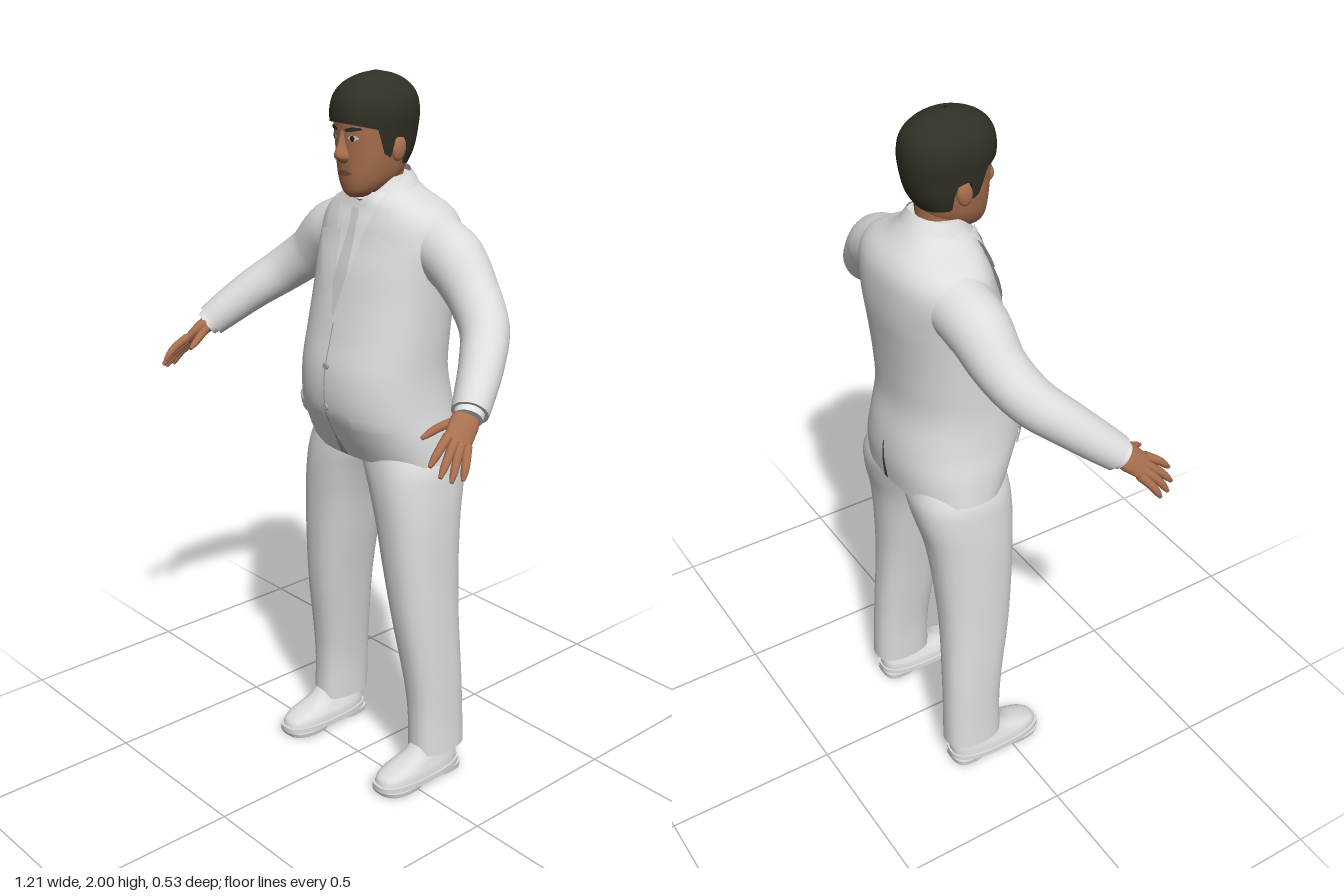
import * as THREE from 'three';

const mat = (name, color, side = THREE.FrontSide) => {
  const m = new THREE.MeshStandardMaterial({ color, side });
  m.name = name;
  return m;
};

// Grid surface from a rule f(u, v, row) -> [x, y, z]; closed wraps around u
function sheet(f, nu, nv, closed = true) {
  const pos = [], idx = [], w = closed ? nu : nu + 1;
  for (let j = 0; j <= nv; j++)
    for (let i = 0; i < w; i++) pos.push(...f(i / nu, j / nv, j));
  for (let j = 0; j < nv; j++)
    for (let i = 0; i < nu; i++) {
      const a = j * w + i, b = j * w + ((i + 1) % w), c = a + w, d = b + w;
      idx.push(a, c, b, b, c, d);
    }
  const g = new THREE.BufferGeometry();
  g.setAttribute('position', new THREE.Float32BufferAttribute(pos, 3));
  g.setIndex(idx);
  g.computeVertexNormals();
  return g;
}

// Smooth interpolation in rows [y, x0, x1, zBack, zFront]
function at(rows, y) {
  const last = rows.length - 1;
  y = THREE.MathUtils.clamp(y, rows[0][0], rows[last][0]);
  let i = 0;
  while (i < last - 1 && y > rows[i + 1][0]) i++;
  const slope = (k, c) => {
    const p = rows[Math.max(k - 1, 0)], q = rows[Math.min(k + 1, last)];
    return (q[c] - p[c]) / (q[0] - p[0]);
  };
  const A = rows[i], B = rows[i + 1], h = B[0] - A[0], t = (y - A[0]) / h, t2 = t * t, t3 = t2 * t;
  return A.map((a, c) => c === 0 ? y :
    (2 * t3 - 3 * t2 + 1) * a + (t3 - 2 * t2 + t) * h * slope(i, c) +
    (3 * t2 - 2 * t3) * B[c] + (t3 - t2) * h * slope(i + 1, c));
}

const pw = (v, n) => Math.sign(v) * Math.pow(Math.abs(v), 2 / n);
function ringPoint([y, x0, x1, z0, z1], u, n, k = 1) {
  const a = u * Math.PI * 2;
  return [(x0 + x1) / 2 + k * (x1 - x0) / 2 * pw(Math.cos(a), n), y,
    (z0 + z1) / 2 + k * (z1 - z0) / 2 * pw(Math.sin(a), n)];
}

// Upright body with capped ends
function loft(rows, n = 2.3, nu = 40, nv = 40) {
  const y0 = rows[0][0], y1 = rows[rows.length - 1][0];
  return sheet((u, v, j) => {
    const t = THREE.MathUtils.clamp(j - 2, 0, nv) / nv;
    return ringPoint(at(rows, y0 + (y1 - y0) * t), u, n, j === 0 || j === nv + 4 ? 0 : 1);
  }, nu, nv + 4);
}

// Capped limb along a path; radii are [across, along ref] pairs
function limb(points, radii, ref, nu = 24, nv = 24) {
  const curve = new THREE.CatmullRomCurve3(points.map(p => new THREE.Vector3(...p)));
  const R = new THREE.Vector3(...ref);
  return sheet((u, v, j) => {
    const t = THREE.MathUtils.clamp(j - 2, 0, nv) / nv, k = j === 0 || j === nv + 4 ? 0 : 1;
    const s = t * (radii.length - 1), i = Math.min(Math.floor(s), radii.length - 2);
    const r = [0, 1].map(c => THREE.MathUtils.lerp(radii[i][c], radii[i + 1][c], s - i) * k);
    const T = curve.getTangent(t), B = R.clone().addScaledVector(T, -R.dot(T)).normalize();
    const N = new THREE.Vector3().crossVectors(T, B), a = u * Math.PI * 2;
    return curve.getPoint(t).addScaledVector(N, r[0] * Math.cos(a))
      .addScaledVector(B, r[1] * Math.sin(a)).toArray();
  }, nu, nv + 4);
}

// Thin plate laid on a body: edges are [y, xLow, xHigh]
function plate(body, edges, off, n = 2.3, back = false) {
  const rows = edges.map(e => [...e]), y0 = rows[0][0], y1 = rows[rows.length - 1][0];
  return sheet((u, v) => {
    const y = y0 + (y1 - y0) * v;
    let i = 0;
    while (i < rows.length - 2 && y > rows[i + 1][0]) i++;
    const t = (y - rows[i][0]) / (rows[i + 1][0] - rows[i][0]);
    const lo = THREE.MathUtils.lerp(rows[i][1], rows[i + 1][1], t);
    const hi = THREE.MathUtils.lerp(rows[i][2], rows[i + 1][2], t);
    const x = back ? lo + (hi - lo) * u : hi + (lo - hi) * u, [, , x1, zb, zf] = at(body, y);
    const d = Math.pow(Math.max(0, 1 - Math.pow(Math.abs(x / x1), n)), 1 / n);
    return [x, y, (zb + zf) / 2 + (back ? -1 : 1) * ((zf - zb) / 2 * d + off)];
  }, 8, 28, false);
}

function mirrored(geo) {
  const g = geo.clone().applyMatrix4(new THREE.Matrix4().makeScale(-1, 1, 1)), ix = g.index.array;
  for (let i = 0; i < ix.length; i += 3) [ix[i], ix[i + 1]] = [ix[i + 1], ix[i]];
  return g;
}

const sym = rows => rows.map(([y, x, zb, zf]) => [y, -x, x, zb, zf]);
const TORSO = sym([[.975, .235, -.255, .045], [1.05, .225, -.262, .085], [1.12, .212, -.257, .115],
  [1.22, .203, -.24, .118], [1.32, .203, -.243, .095], [1.42, .205, -.253, .07], [1.5, .21, -.262, .05],
  [1.57, .217, -.262, .025], [1.62, .207, -.255, .01], [1.655, .175, -.236, -.003],
  [1.685, .115, -.205, -.01], [1.71, .085, -.182, -.02], [1.735, .07, -.16, -.03]]);
const HEAD = sym([[1.685, .022, -.06, .026], [1.695, .04, -.08, .036], [1.715, .056, -.1, .043],
  [1.74, .069, -.13, .047], [1.78, .079, -.15, .05], [1.82, .085, -.165, .052],
  [1.86, .088, -.17, .055], [1.9, .088, -.165, .055], [1.95, .07, -.14, .03], [1.98, .03, -.1, -.01]]);
const HAIR = sym([[1.75, .075, -.135, .03], [1.8, .089, -.165, .05], [1.86, .096, -.18, .064],
  [1.9, .099, -.183, .068], [1.94, .09, -.175, .06], [1.97, .069, -.15, .035],
  [1.99, .04, -.11, -.01], [2, .004, -.065, -.055]]);
// Hairline height against facing direction (-1 back, 1 front)
const HAIRLINE = [[-1, 1.762], [-.35, 1.768], [-.2, 1.835], [.08, 1.845], [.16, 1.79], [.34, 1.8], [.5, 1.865], [1, 1.88]];

export function createModel() {
  const root = new THREE.Group();
  root.name = 'manInSuit';
  const suit = mat('suit', 0xdcdcdc, THREE.DoubleSide), shirt = mat('shirt', 0xe4e4e4, THREE.DoubleSide);
  const tie = mat('tie', 0xcfcfcf), seam = mat('seam', 0xa8a8a8), vent = mat('ventShadow', 0x4c4c4c);
  const skin = mat('skin', 0xa9704f), lip = mat('lips', 0x85503c), hair = mat('hair', 0x303025, THREE.DoubleSide);
  const white = mat('eyeWhite', 0xcfc8be), dark = mat('iris', 0x2a1d16);
  const add = (name, geo, m) => {
    const mesh = new THREE.Mesh(geo, m);
    mesh.name = name;
    root.add(mesh);
  };
  const pair = (name, geo, m) => { add(name + 'Left', geo, m); add(name + 'Right', mirrored(geo), m); };

  // Jacket body and its front details
  add('jacket', loft(TORSO, 2.3, 64, 70), suit);
  add('shirtFront', plate(TORSO, [[1.37, -.002, .002], [1.7, -.07, .07]], .003), shirt);
  add('tie', plate(TORSO, [[1.38, -.006, .006], [1.46, -.026, .026], [1.61, -.013, .013],
    [1.62, -.014, .014], [1.655, -.02, .02]], .007), tie);
  pair('lapel', plate(TORSO, [[1.36, 0, .008], [1.46, .02, .065], [1.58, .046, .135], [1.59, .048, .095],
    [1.605, .051, .118], [1.7, .068, .088]], .01), suit);
  pair('shirtCollarPoint', plate(TORSO, [[1.59, .046, .05], [1.63, .022, .062], [1.66, .012, .068], [1.7, .045, .075]], .013), shirt);
  add('frontSeam', plate(TORSO, [[.978, -.016, .016], [1.04, -.002, .002], [1.36, -.002, .002]], .002), seam);
  pair('pocketFlap', plate(TORSO, [[1.085, .09, .185], [1.12, .09, .19]], .008), suit);
  for (const y of [1.13, 1.245]) {
    const r = .009, [, , , , zf] = at(TORSO, y);
    const g = new THREE.CylinderGeometry(r, r, .008, 16).rotateX(Math.PI / 2).translate(.004, y, zf + .003);
    add('jacketButton', g, seam);
  }
  add('backVent', plate(TORSO, [[.978, -.009, .009], [1.1, -.002, .002]], .002, 2.3, true), vent);

  // Collar, higher at the back
  add('jacketCollar', sheet((u, v) => {
    const s = Math.sin(u * Math.PI * 2), k = 1 - .22 * v;
    return [.093 * k * Math.cos(u * Math.PI * 2), 1.7 - .022 * s + .03 * v, -.088 + .093 * k * s];
  }, 40, 4), suit);

  // Arms and cuffs
  pair('sleeve', limb([[.15, 1.57, -.13], [.24, 1.535, -.12], [.32, 1.465, -.108], [.4, 1.4, -.07],
    [.46, 1.342, -.002], [.508, 1.28, .072], [.527, 1.252, .105]],
  [.085, .083, .07, .064, .058, .051, .047].map(r => [r, r]), [0, .6, 1], 32, 36), suit);
  pair('shirtCuff', limb([[.522, 1.26, .097], [.533, 1.243, .117]], [[.039, .039], [.037, .037]], [0, 1, 0], 24, 2), shirt);

  // Hands
  const spread = [.55, -.44, -.7];
  pair('palm', limb([[.52, 1.26, .095], [.536, 1.232, .133], [.552, 1.198, .172]],
    [[.024, .03], [.021, .038], [.013, .036]], spread, 20, 12), skin);
  const fingers = [
    ['indexFinger', [.535, 1.215, .185], [.545, 1.19, .225], [.548, 1.158, .258]],
    ['middleFinger', [.547, 1.204, .175], [.565, 1.17, .217], [.574, 1.135, .248]],
    ['ringFinger', [.557, 1.195, .165], [.578, 1.16, .2], [.59, 1.122, .226]],
    ['littleFinger', [.565, 1.188, .15], [.588, 1.155, .177], [.599, 1.122, .196]],
    ['thumb', [.518, 1.24, .125], [.492, 1.222, .175], [.477, 1.2, .217]]];
  for (const [name, ...pts] of fingers)
    pair(name, limb(pts, [.013, .012, .011, .01, .005].map(r => [r, r]), [1, .3, 0], 12, 10), skin);

  // Trousers
  pair('trouserLeg', loft([[.085, .152, .272, -.205, -.028], [.2, .148, .267, -.203, -.028], [.3, .138, .265, -.2, -.02],
    [.5, .11, .258, -.195, .01], [.65, .083, .253, -.2, .025], [.8, .052, .248, -.215, .035],
    [.9, .02, .241, -.238, .04], [.965, -.008, .232, -.245, .038], [1.03, -.01, .2, -.23, .03]], 2.4, 40, 50), suit);

  // Shoes
  pair('shoeUpper', loft([[.03, .152, .268, -.185, .105], [.05, .155, .265, -.185, .095], [.066, .162, .26, -.182, .06],
    [.085, .17, .255, -.18, .005], [.12, .178, .248, -.17, -.035]], 2.6, 40, 16), suit);
  pair('shoeSole', loft([[.016, .146, .274, -.19, .112], [.032, .146, .274, -.19, .112]], 2.6, 40, 1), suit);
  pair('shoeHeel', loft([[0, .158, .262, -.188, -.085], [.018, .155, .265, -.19, -.08]], 3, 32, 1), suit);
  pair('shoeForefoot', loft([[.004, .15, .27, -.04, .106], [.018, .147, .273, -.05, .111]], 2.5, 32, 1), suit);

  // Neck, head and face
  add('neck', loft(sym([[1.62, .06, -.14, -.03], [1.66, .06, -.14, -.008], [1.7, .06, -.14, .002], [1.77, .062, -.145, .005]]), 2, 32, 12), skin);
  add('head', loft(HEAD, 2.2, 48, 48), skin);
  add('nose', loft(sym([[1.776, .011, .02, .056], [1.788, .02, .02, .073], [1.8, .019, .02, .077],
    [1.825, .012, .02, .067], [1.86, .009, .02, .056]]), 2, 20, 16), skin);
  pair('ear', new THREE.SphereGeometry(1, 16, 12).scale(.013, .033, .022).rotateX(-.15).translate(.088, 1.812, -.062), skin);
  pair('eye', plate(HEAD, [[1.834, .032, .036], [1.842, .019, .051], [1.849, .03, .042]], .002, 2.2), white);
  pair('iris', plate(HEAD, [[1.834, .032, .037], [1.842, .028, .041], [1.849, .032, .037]], .004, 2.2), dark);
  pair('eyebrow', plate(HEAD, [[1.858, .014, .03], [1.864, .014, .058], [1.87, .034, .054]], .004, 2.2), hair);
  add('mouth', plate(HEAD, [[1.743, -.012, .012], [1.751, -.03, .03], [1.757, -.012, .012]], .003, 2.2), lip);

  // Hair cap with a hairline that drops at the sideburns and nape
  add('hair', sheet((u, v, j) => {
    const s = Math.sin(u * Math.PI * 2);
    let i = 0;
    while (i < HAIRLINE.length - 2 && s > HAIRLINE[i + 1][0]) i++;
    const [a, ya] = HAIRLINE[i], [b, yb] = HAIRLINE[i + 1];
    const low = ya + (yb - ya) * (s - a) / (b - a), t = Math.max(0, j - 2) / 28;
    return ringPoint(at(HAIR, low + (2 - low) * Math.sin(t * Math.PI / 2)), u, 2.15, j === 0 ? .86 : 1);
  }, 72, 30), hair);

  return root;
}
